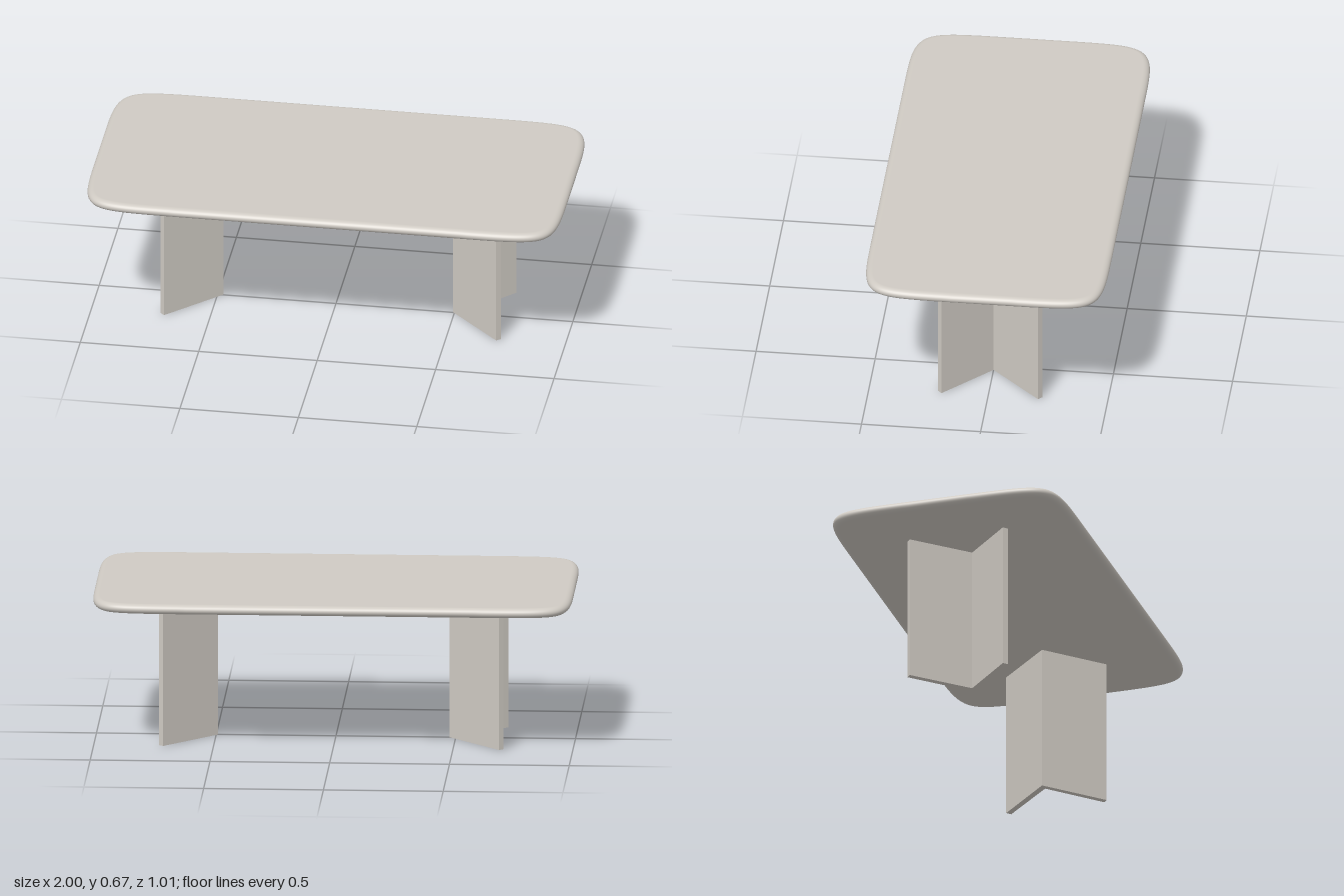
import * as THREE from 'three';

const BOTTOM = 0.624, TOP = 0.666;

// Quarter corner that eases gently from the short side into the long side
function outlinePoints() {
  const hx = 1, hz = 0.506;
  const corner = new THREE.CubicBezierCurve(
    new THREE.Vector2(hx, hz - 0.38), new THREE.Vector2(hx, hz),
    new THREE.Vector2(hx, hz), new THREE.Vector2(hx - 0.4, hz));
  const quarter = corner.getPoints(32);
  const flip = (sx, sz) => quarter.map(p => new THREE.Vector2(p.x * sx, p.y * sz));
  return [...flip(1, 1), ...flip(-1, 1).reverse(), ...flip(-1, -1), ...flip(1, -1).reverse()];
}

// Slab with a rounded edge: the outline is inset along its normals ring by ring
function tabletopGeometry() {
  const outline = outlinePoints(), n = outline.length, rings = 14;
  const mid = (TOP + BOTTOM) / 2, halfHeight = (TOP - BOTTOM) / 2, inset = 0.028;
  const positions = [], index = [];
  for (let r = 0; r <= rings; r++) {
    const a = -Math.PI / 2 + Math.PI * r / rings;
    for (let i = 0; i < n; i++) {
      const prev = outline[(i + n - 1) % n], next = outline[(i + 1) % n];
      const t = next.clone().sub(prev).normalize();
      const d = inset * (1 - Math.cos(a));
      positions.push(outline[i].x - t.y * d, mid + halfHeight * Math.sin(a), outline[i].y + t.x * d);
    }
  }
  for (let r = 0; r < rings; r++) {
    for (let i = 0; i < n; i++) {
      const a = r * n + i, b = r * n + (i + 1) % n;
      index.push(a, a + n, b, b, a + n, b + n);
    }
  }
  // Flat underside and top
  const low = (rings + 1) * n, high = low + 1, last = rings * n;
  positions.push(0, BOTTOM, 0, 0, TOP, 0);
  for (let i = 0; i < n; i++) {
    const j = (i + 1) % n;
    index.push(low, i, j, high, last + j, last + i);
  }
  const g = new THREE.BufferGeometry();
  g.setAttribute('position', new THREE.Float32BufferAttribute(positions, 3));
  g.setIndex(index);
  g.computeVertexNormals();
  return g;
}

// V-shaped panel leg with its point toward the table centre
function legGeometry(side, shift) {
  const plan = [
    [0.484, -0.003], [0.701, 0.212], [0.719, 0.196],
    [0.518, 0], [0.719, -0.21], [0.701, -0.226],
  ];
  // Shape y becomes -z once the extrusion is stood upright
  const shape = new THREE.Shape(plan.map(([x, z]) => new THREE.Vector2(x * side + shift, -z)));
  const g = new THREE.ExtrudeGeometry(shape, { depth: BOTTOM + 0.002, bevelEnabled: false });
  g.rotateX(-Math.PI / 2);
  return g;
}

export function createModel() {
  const group = new THREE.Group();
  group.name = 'table';
  const stone = new THREE.MeshStandardMaterial({ color: 0xcfcac3 });
  stone.name = 'warm grey';

  const add = (name, geometry) => {
    const mesh = new THREE.Mesh(geometry, stone);
    mesh.name = name;
    group.add(mesh);
  };
  add('tabletop', tabletopGeometry());
  add('leftLeg', legGeometry(1, 0.009));
  add('rightLeg', legGeometry(-1, 0.009));
  return group;
}
